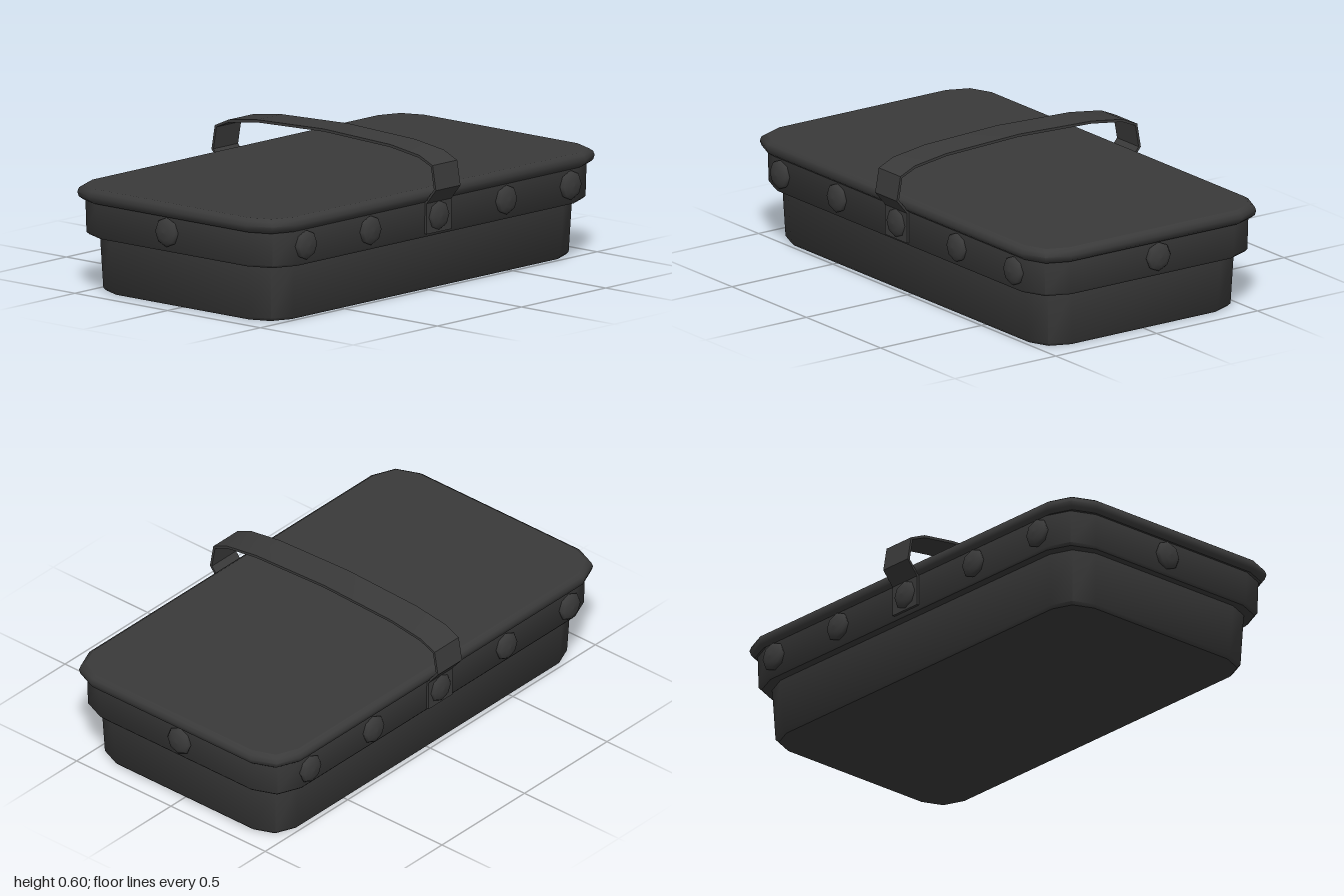
import * as THREE from 'three';
import { mergeGeometries, toCreasedNormals } from 'three/addons/utils/BufferGeometryUtils.js';

const material = new THREE.MeshStandardMaterial({ color: 0x3a3a3a });

// Rounded rectangle ring: each corner is an arc of two segments
function ring([y, hx, hz, r]) {
  const points = [];
  for (let c = 0; c < 4; c++) {
    const sx = c === 0 || c === 3 ? 1 : -1;
    const sz = c < 2 ? 1 : -1;
    for (let i = 0; i <= 2; i++) {
      const a = (c + i / 2) * Math.PI / 2;
      points.push([sx * (hx - r) + r * Math.cos(a), y, sz * (hz - r) + r * Math.sin(a)]);
    }
  }
  return points;
}

function triangles(corners) {
  const g = new THREE.BufferGeometry();
  g.setAttribute('position', new THREE.Float32BufferAttribute(corners.flat(), 3));
  g.computeVertexNormals();
  return g;
}

// Loft through sections [y, half width, half depth, corner radius], closed by flat caps
function loft(name, sections) {
  const rings = sections.map(ring);
  const n = rings[0].length;
  const last = rings.length - 1;
  const sides = [];
  const caps = [];
  for (let i = 0; i < n; i++) {
    const j = (i + 1) % n;
    for (let k = 0; k < last; k++) {
      const lo = rings[k], hi = rings[k + 1];
      sides.push(lo[i], hi[i], lo[j], lo[j], hi[i], hi[j]);
    }
    caps.push([0, sections[0][0], 0], rings[0][i], rings[0][j]);
    caps.push([0, sections[last][0], 0], rings[last][j], rings[last][i]);
  }
  const mesh = new THREE.Mesh(
    mergeGeometries([toCreasedNormals(triangles(sides), 0.9), triangles(caps)]), material);
  mesh.name = name;
  return mesh;
}

// Flat carrying strap: a side profile thickened inwards and extruded across x
function strap() {
  const half = [[0.555, 0.245], [0.555, 0.37], [0.605, 0.43], [0.587, 0.53],
    [0.515, 0.562], [0.36, 0.584]];
  const path = [...half, [0, 0.597], ...half.map(([z, y]) => [-z, y]).reverse()]
    .map(([z, y]) => new THREE.Vector2(z, y));
  const inner = path.map((p, i) => {
    const before = path[Math.max(i - 1, 0)];
    const after = path[Math.min(i + 1, path.length - 1)];
    const t = after.clone().sub(before).normalize();
    return new THREE.Vector2(p.x - t.y * 0.011, p.y + t.x * 0.011);
  });
  const width = 0.146;
  const g = new THREE.ExtrudeGeometry(new THREE.Shape([...path, ...inner.reverse()]),
    { depth: width, bevelEnabled: false });
  g.translate(0, 0, -width / 2).rotateY(-Math.PI / 2);
  const mesh = new THREE.Mesh(toCreasedNormals(g, 0.5), material);
  mesh.name = 'strapHandle';
  return mesh;
}

export function createModel() {
  const model = new THREE.Group();
  model.name = 'lidded case';

  // Tapered lower tray
  model.add(loft('base', [
    [0, 0.91, 0.478, 0.12], [0.012, 0.922, 0.49, 0.13], [0.24, 0.932, 0.5, 0.13],
  ]));
  // Wider band around the rim
  model.add(loft('rimBand', [
    [0.23, 0.962, 0.535, 0.14], [0.24, 0.97, 0.543, 0.14], [0.38, 0.973, 0.546, 0.14],
  ]));
  // Lid with a rounded edge
  model.add(loft('lid', [
    [0.375, 0.982, 0.546, 0.13], [0.386, 0.996, 0.56, 0.14], [0.405, 1, 0.565, 0.14],
    [0.423, 0.995, 0.56, 0.14], [0.434, 0.978, 0.543, 0.13],
  ]));
  model.add(strap());

  // Eight-sided domed studs, axis turned from y to +z
  const dome = new THREE.LatheGeometry(
    [[0.054, -0.006], [0.06, 0.008], [0.052, 0.018], [0.03, 0.026], [0, 0.029]]
      .map(([r, h]) => new THREE.Vector2(r, h)), 8);
  dome.rotateX(Math.PI / 2);
  const studs = new THREE.Group();
  studs.name = 'studs';
  const addStud = (x, z, turn) => {
    const stud = new THREE.Mesh(dome, material);
    stud.name = 'stud';
    stud.position.set(x, 0.312, z);
    stud.rotation.y = turn;
    studs.add(stud);
  };
  for (const x of [-0.785, -0.403, 0, 0.403, 0.785]) {
    addStud(x, 0.546, 0);
    addStud(x, -0.546, Math.PI);
  }
  addStud(0.971, -0.025, Math.PI / 2);
  addStud(-0.971, -0.025, -Math.PI / 2);
  model.add(studs);

  return model;
}
